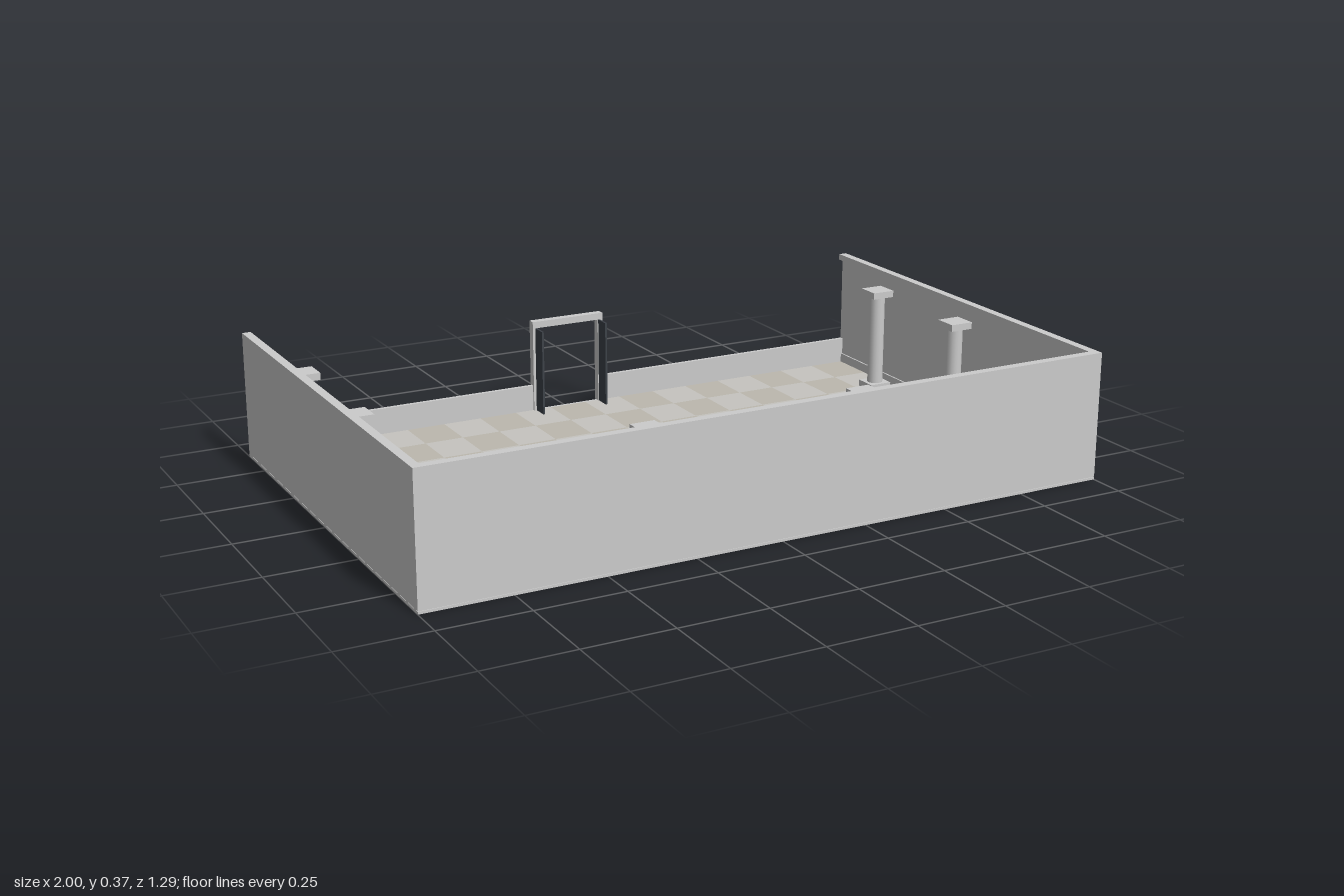
import * as THREE from 'three';

const stone = new THREE.MeshStandardMaterial({ color: 0xcccccc });
const tileA = new THREE.MeshStandardMaterial({ color: 0xc6c4bf });
const tileB = new THREE.MeshStandardMaterial({ color: 0xbcb8ae });
const dark = new THREE.MeshStandardMaterial({ color: 0x3c4148 });

const H = 0.365;      // wall height
const FLOOR = 0.008;  // floor level
const FRONT = 0.645, BACK = -0.64, T = 0.012;

// Box given by its minimum and maximum corners
function box(parent, name, [x0, y0, z0], [x1, y1, z1], material = stone) {
  const mesh = new THREE.Mesh(new THREE.BoxGeometry(x1 - x0, y1 - y0, z1 - z0), material);
  mesh.position.set((x0 + x1) / 2, (y0 + y1) / 2, (z0 + z1) / 2);
  mesh.name = name;
  parent.add(mesh);
  return mesh;
}

// Column with square base and cap
function column(x, z) {
  const g = new THREE.Group();
  g.name = 'column';
  const w = 0.035;
  box(g, 'columnBase', [-w, 0, -w], [w, 0.02, w]);
  box(g, 'columnCap', [-w, 0.295, -w], [w, 0.315, w]);
  const shaft = new THREE.Mesh(new THREE.CylinderGeometry(0.024, 0.024, 0.275, 16, 1, true), stone);
  shaft.position.y = 0.1575;
  shaft.name = 'columnShaft';
  g.add(shaft);
  g.position.set(x, FLOOR, z);
  return g;
}

// Checkered floor: one instanced set of tiles per shade
function floorTiles() {
  const g = new THREE.Group();
  g.name = 'floorTiles';
  const nx = 17, nz = 9;
  const x0 = -1 + T, z0 = BACK + T;
  const dx = -2 * x0 / nx, dz = (FRONT - T - z0) / nz;
  for (let i = 0; i < nx; i++) {
    for (let j = 0; j < nz; j++) {
      const tile = new THREE.Mesh(new THREE.PlaneGeometry(dx, dz), (i + j) % 2 ? tileA : tileB);
      tile.rotation.x = -Math.PI / 2;
      tile.position.set(x0 + (i + 0.5) * dx, FLOOR, z0 + (j + 0.5) * dz);
      tile.name = 'floorTile';
      g.add(tile);
    }
  }
  return g;
}

export function createModel() {
  const room = new THREE.Group();
  room.name = 'room';

  // Floor
  box(room, 'floorSlab', [-1, 0, BACK], [1, FLOOR - 0.001, FRONT]);
  room.add(floorTiles());

  // Front wall with cornice and skirting
  const c = 0.025, s = 0.017;
  box(room, 'frontWall', [-1, FLOOR, FRONT - T], [1, H, FRONT]);
  box(room, 'frontCornice', [-1 + T, H - 0.018, FRONT - c], [1 - T, H, FRONT - T]);
  box(room, 'frontSkirting', [-1 + T, FLOOR, FRONT - s], [1 - T, 0.035, FRONT - T]);

  for (const side of [-1, 1]) {
    // Side walls, mirrored
    const span = (a, b) => [Math.min(side * a, side * b), Math.max(side * a, side * b)];
    const part = (name, a, b, y0, y1, z0, z1, mat) => {
      const [x0, x1] = span(a, b);
      return box(room, name, [x0, y0, z0], [x1, y1, z1], mat);
    };
    part('sideWall', 1 - T, 1, FLOOR, H, BACK, FRONT - T);
    part('sideCornice', 1 - c, 1 - T, H - 0.018, H, BACK, FRONT - c);
    part('sideSkirting', 1 - s, 1 - T, FLOOR, 0.035, BACK + T, FRONT - s);

    // Low back wall, left open at the doorway
    part('backWall', 0.1, 1 - T, FLOOR, 0.085, BACK, BACK + T);

    // Door post and open door leaf
    part('doorPost', 0.1, 0.116, FLOOR, 0.265, -0.645, -0.622);
    part('doorLeaf', 0.102, 0.108, FLOOR, 0.265, -0.622, -0.575, dark);

    // Columns along the side and front walls
    room.add(column(side * 0.925, -0.34), column(side * 0.925, 0.07), column(side * 0.32, 0.515));
  }

  // Door lintel
  box(room, 'doorLintel', [-0.116, 0.265, -0.645], [0.116, 0.285, -0.622]);
  return room;
}
